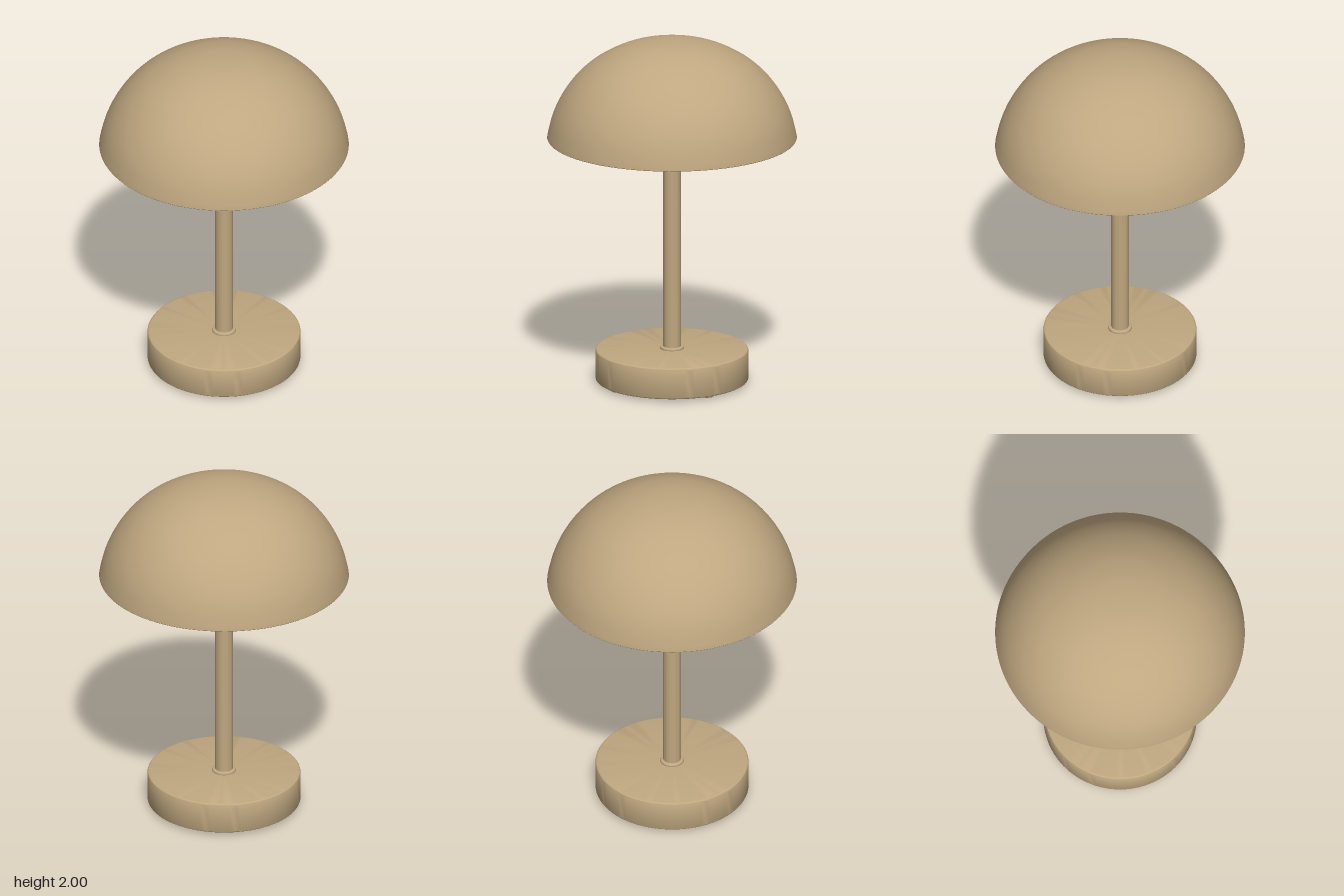
import * as THREE from 'three';
import { toCreasedNormals } from 'three/addons/utils/BufferGeometryUtils.js';

export function createModel() {
  const lamp = new THREE.Group();
  lamp.name = 'tableLamp';
  const sand = new THREE.MeshStandardMaterial({ color: 0xbfa780 });
  sand.name = 'sand';

  // Turned part from [radius, height] pairs, listed bottom to top
  const turned = (name, profile, segments = 64) => {
    const points = profile.map(([r, y]) => new THREE.Vector2(r, y));
    const mesh = new THREE.Mesh(
      toCreasedNormals(new THREE.LatheGeometry(points, segments), 0.6), sand);
    mesh.name = name;
    lamp.add(mesh);
    return mesh;
  };

  // Solid disc with rounded rims
  const disc = (name, radius, bottom, top, round, segments) => {
    const profile = [[0, bottom]];
    for (let i = 0; i <= 4; i++) {
      const a = (i / 4) * Math.PI / 2;
      profile.push([radius - round + round * Math.sin(a), bottom + round - round * Math.cos(a)]);
    }
    for (let i = 0; i <= 4; i++) {
      const a = (i / 4) * Math.PI / 2;
      profile.push([radius - round + round * Math.cos(a), top - round + round * Math.sin(a)]);
    }
    profile.push([0, top]);
    return turned(name, profile, segments);
  };

  // Base and pole
  disc('base', 0.432, 0.015, 0.196, 0.012, 96);
  disc('lowerCollar', 0.067, 0.19, 0.21, 0.006, 48);
  turned('pole', [[0.05, 0.19], [0.05, 1.44]], 48);
  disc('upperCollar', 0.058, 1.422, 1.44, 0.004, 48);

  // Four feet, a quarter turn apart
  for (let i = 0; i < 4; i++) {
    const foot = disc('foot', 0.04, 0, 0.02, 0.005, 24);
    const a = 0.64 + i * Math.PI / 2;
    foot.position.set(0.362 * Math.cos(a), 0, 0.362 * Math.sin(a));
  }

  // Domed shade
  const curve = new THREE.SplineCurve([
    [0.705, 1.433], [0.699, 1.465], [0.68, 1.54], [0.651, 1.615], [0.605, 1.698],
    [0.54, 1.782], [0.46, 1.855], [0.37, 1.912], [0.27, 1.957], [0.16, 1.986],
    [0.07, 1.997], [0, 2],
  ].map(([r, y]) => new THREE.Vector2(r, y)));
  const dome = curve.getPoints(44).map((p) => [Math.max(p.x, 0), p.y]);
  turned('shade', [[0.615, 1.436], [0.615, 1.43], [0.703, 1.43], ...dome], 96);

  // Diffuser set just inside the shade rim
  turned('diffuser', [[0, 1.433], [0.615, 1.433]], 96);

  return lamp;
}
